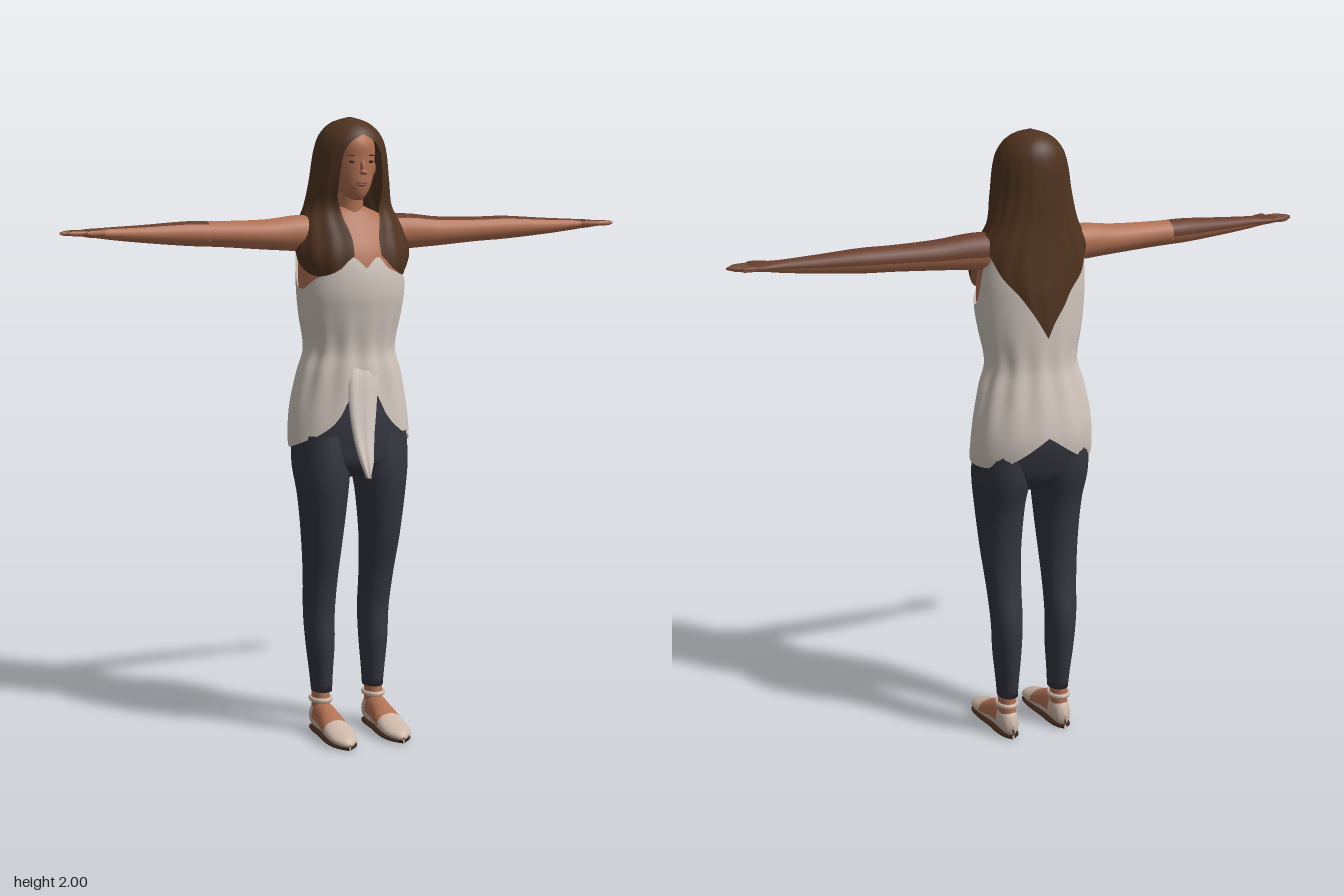
import * as THREE from 'three';
import { mergeVertices } from 'three/addons/utils/BufferGeometryUtils.js';

const flat = (name, color, side = THREE.FrontSide) => {
  const m = new THREE.MeshStandardMaterial({ color, side });
  m.name = name;
  return m;
};
const TAU = Math.PI * 2, DEG = Math.PI / 180;

// Smooth interpolation of a table whose rows are [key, value, value, ...], keys ascending
function at(table, k) {
  const n = table.length;
  if (k <= table[0][0]) return table[0].slice(1);
  if (k >= table[n - 1][0]) return table[n - 1].slice(1);
  let i = 0;
  while (k > table[i + 1][0]) i++;
  const a = table[i], b = table[i + 1], p = table[Math.max(i - 1, 0)], q = table[Math.min(i + 2, n - 1)];
  const h = b[0] - a[0], t = (k - a[0]) / h, t2 = t * t, t3 = t2 * t;
  return a.slice(1).map((v, j) => {
    const w = b[j + 1];
    const m0 = (w - p[j + 1]) / (b[0] - p[0]) * h, m1 = (q[j + 1] - v) / (q[0] - a[0]) * h;
    return (2 * t3 - 3 * t2 + 1) * v + (t3 - 2 * t2 + t) * m0 + (3 * t2 - 2 * t3) * w + (t3 - t2) * m1;
  });
}

// Grid surface from fn(u, v) -> [x, y, z]
function surface(name, mat, nu, nv, fn, flip = false) {
  const pos = [], idx = [];
  for (let j = 0; j <= nv; j++) for (let i = 0; i <= nu; i++) pos.push(...fn(i / nu, j / nv));
  for (let j = 0; j < nv; j++) for (let i = 0; i < nu; i++) {
    const a = j * (nu + 1) + i, b = a + 1, c = a + nu + 1, d = c + 1;
    if (flip) idx.push(a, d, b, a, c, d);
    else idx.push(a, b, d, a, d, c);
  }
  let g = new THREE.BufferGeometry();
  g.setAttribute('position', new THREE.Float32BufferAttribute(pos, 3));
  g.setIndex(idx);
  g = mergeVertices(g, 1e-5);
  g.computeVertexNormals();
  const mesh = new THREE.Mesh(g, mat);
  mesh.name = name;
  return mesh;
}

// Point on an upright body ring: rows are [y, halfWidth, zFront, zBack]
function ringPoint(table, y, a, grow = 0, cx = 0) {
  const [hx, zf, zb] = at(table, y);
  return [cx + Math.sin(a) * (hx + grow), y, (zf + zb) / 2 + Math.cos(a) * ((zf - zb) / 2 + grow)];
}
function upright(name, mat, table, { cx = 0, nu = 36, nv = 24 } = {}) {
  const y0 = table[0][0], y1 = table[table.length - 1][0];
  return surface(name, mat, nu, nv + 2, (u, v) => {
    const j = Math.round(v * (nv + 2)) - 1, cap = j < 0 || j > nv;
    const y = y0 + (y1 - y0) * Math.min(Math.max(j / nv, 0), 1);
    const p = ringPoint(table, y, u * TAU, 0, cx);
    if (cap) { const [, f, b] = at(table, y); return [cx, y, (f + b) / 2]; }
    return p;
  });
}

const TORSO = [[0.86, 0.1, 0.03, -0.1], [0.9, 0.18, 0.068, -0.135], [0.96, 0.198, 0.076, -0.158], [1.03, 0.196, 0.079, -0.172],
  [1.1, 0.187, 0.076, -0.17], [1.2, 0.163, 0.072, -0.156], [1.27, 0.143, 0.066, -0.145], [1.38, 0.163, 0.083, -0.148],
  [1.45, 0.172, 0.094, -0.15], [1.53, 0.174, 0.09, -0.15], [1.6, 0.17, 0.07, -0.143], [1.66, 0.162, 0.03, -0.135],
  [1.69, 0.12, 0.015, -0.12], [1.72, 0.05, 0, -0.09]];
const HEAD = [[1.742, 0.016, 0.044, 0.0], [1.76, 0.036, 0.055, -0.05], [1.79, 0.056, 0.062, -0.09], [1.83, 0.068, 0.063, -0.11],
  [1.87, 0.073, 0.064, -0.12], [1.92, 0.07, 0.064, -0.12], [1.96, 0.05, 0.035, -0.1], [1.98, 0.02, 0, -0.07]];
const HAIR = [[1.36, 0.13, 0.1, -0.168], [1.5, 0.172, 0.115, -0.166], [1.57, 0.195, 0.108, -0.16], [1.65, 0.182, 0.08, -0.154],
  [1.72, 0.147, 0.052, -0.15], [1.8, 0.13, 0.072, -0.15], [1.9, 0.114, 0.08, -0.148], [1.95, 0.092, 0.066, -0.135],
  [1.985, 0.052, 0.025, -0.1], [2, 0.003, -0.03, -0.04]];
const LEG = [[0.14, 0.033, -0.015, -0.1], [0.2, 0.037, -0.01, -0.108], [0.3, 0.046, -0.003, -0.12], [0.4, 0.051, -0.008, -0.124],
  [0.52, 0.057, 0.01, -0.106], [0.65, 0.066, 0.046, -0.102], [0.8, 0.08, 0.073, -0.117], [0.9, 0.092, 0.077, -0.145], [1, 0.09, 0.068, -0.15]];
// Shirt edges and hair edges by angle from the front, in degrees
const HEM = [[0, 1.13], [15, 1.12], [22, 1.07], [32, 1.03], [50, 0.995], [90, 0.96], [140, 0.965], [180, 1.05]];
const NECKLINE = [[0, 1.53], [14, 1.565], [26, 1.53], [55, 1.5], [80, 1.465], [98, 1.5], [110, 1.64], [120, 1.685], [180, 1.69]];
const HAIR_ENDS = [[0, 1.57], [0.12, 1.52], [0.3, 1.51], [0.42, 1.56], [0.5, 1.66], [0.62, 1.64], [0.8, 1.52], [1, 1.37]];
const HAIR_PARTING = [[1.5, 0.28], [1.62, 0.24], [1.7, 0.42], [1.76, 0.58], [1.85, 0.6], [1.9, 0.52], [1.93, 0.3], [1.945, 0]];
// Arm rows: [x, y, z, half height, half depth]
const ARM = [[0.12, 1.635, -0.04, 0.06, 0.055], [0.2, 1.638, -0.038, 0.056, 0.055], [0.3, 1.636, -0.035, 0.047, 0.052],
  [0.45, 1.64, -0.042, 0.04, 0.045], [0.55, 1.643, -0.045, 0.038, 0.043], [0.7, 1.645, -0.042, 0.027, 0.033],
  [0.8, 1.648, -0.04, 0.019, 0.026], [0.84, 1.65, -0.035, 0.015, 0.034], [0.88, 1.651, -0.033, 0.012, 0.038], [0.9, 1.652, -0.033, 0.006, 0.034]];
// Foot rows: [z, half width, bottom, top]
const FOOT = [[-0.114, 0.004, 0.02, 0.05], [-0.1, 0.024, 0.009, 0.085], [-0.05, 0.036, 0.008, 0.108], [0, 0.038, 0.008, 0.1],
  [0.06, 0.045, 0.008, 0.075], [0.11, 0.047, 0.008, 0.056], [0.15, 0.038, 0.008, 0.043], [0.172, 0.02, 0.009, 0.033], [0.18, 0.003, 0.012, 0.02]];

export function createModel() {
  const skin = flat('skin', 0xb27152), tan = flat('deepSkin', 0x693e2c);
  const hairMat = flat('hairBrown', 0x4f331f, THREE.DoubleSide), cloth = flat('shirtCream', 0xd2c7be, THREE.DoubleSide);
  const denim = flat('trouserSlate', 0x34363f), shoe = flat('shoeBeige', 0xcdb8a8, THREE.DoubleSide);
  const sole = flat('soleBrown', 0x3a2417), dark = flat('eyeDark', 0x2a1a14), lip = flat('lipRose', 0x8d4a3d);
  const root = new THREE.Group(), body = new THREE.Group();
  root.name = 'woman';
  body.name = 'body';
  body.position.x = -0.01;
  root.add(body);

  // Torso, neck, head and hips
  body.add(upright('torso', skin, TORSO.slice(6)));
  body.add(upright('neck', skin, [[1.66, 0.06, 0.015, -0.1], [1.71, 0.045, 0.008, -0.085], [1.79, 0.043, 0.015, -0.08]], { nv: 8 }));
  body.add(upright('head', skin, HEAD));
  body.add(upright('trouserHips', denim, TORSO.slice(0, 7)));

  // Facial features
  const blob = (name, mat, x, y, z, sx, sy, sz, rotZ = 0) => {
    const m = new THREE.Mesh(new THREE.SphereGeometry(1, 14, 10), mat);
    m.name = name;
    m.position.set(x, y, z);
    m.scale.set(sx, sy, sz);
    m.rotation.z = rotZ;
    body.add(m);
    return m;
  };
  blob('nose', skin, 0, 1.845, 0.063, 0.008, 0.026, 0.014).rotation.x = -0.3;
  blob('noseTip', skin, 0, 1.828, 0.072, 0.012, 0.009, 0.015);
  blob('upperLip', lip, 0, 1.796, 0.061, 0.02, 0.004, 0.006);
  blob('lowerLip', lip, 0, 1.789, 0.06, 0.017, 0.005, 0.006);
  for (const s of [-1, 1]) {
    blob('eye', dark, s * 0.031, 1.861, 0.055, 0.011, 0.0045, 0.004);
    blob('eyebrow', hairMat, s * 0.032, 1.881, 0.056, 0.016, 0.003, 0.004, -s * 0.1);
    blob('ear', skin, s * 0.075, 1.84, -0.025, 0.01, 0.025, 0.015);
  }

  // Long hair, parted around the face and tapering down the back
  body.add(surface('hair', hairMat, 96, 48, (u, v) => {
    const lo = at(HAIR_ENDS, 1 - Math.abs(2 * u - 1))[0], y = lo + (2 - lo) * v;
    const open = Math.max(at(HAIR_PARTING, y)[0], 0);
    return ringPoint(HAIR, y, open + u * (TAU - 2 * open), 0.002 * Math.cos(u * TAU * 16) * (1 - v));
  }));

  // Sleeveless shirt with gathered folds at the waist and a hanging front panel
  body.add(surface('shirt', cloth, 96, 40, (u, v) => {
    const d = 180 - Math.abs(360 * u - 180), lo = at(HEM, d)[0], hi = at(NECKLINE, d)[0];
    const y = lo + (hi - lo) * v;
    const fold = 0.004 * Math.sin(u * TAU * 13) * Math.exp(-(((y - 1.22) / 0.13) ** 2));
    return ringPoint(TORSO, y, u * TAU, 0.008 + fold);
  }));
  const PANEL = [[0.875, -0.02, 0.006, 0.167], [0.92, -0.018, 0.022, 0.152], [1, -0.017, 0.036, 0.125],
    [1.1, -0.01, 0.048, 0.102], [1.2, 0, 0.05, 0.08], [1.25, 0, 0.03, 0.06]];
  body.add(surface('shirtFrontPanel', cloth, 24, 18, (u, v) => {
    const y = 0.875 + 0.375 * v, [cx, hw, z] = at(PANEL, y), a = u * TAU;
    return [cx + Math.sin(a) * hw, y, z - 0.012 + Math.cos(a) * (0.014 + 0.003 * Math.sin(a * 5))];
  }));

  // Arms: an arc of the limb between x0 and x1, angle measured from the front upward
  const limb = (name, mat, table, s, x0, x1, a0, a1) => root.add(surface(name, mat, Math.ceil((a1 - a0) / 15), 26, (u, v) => {
    const j = Math.round(v * 26), x = x0 + (x1 - x0) * Math.min(j / 25, 1);
    const [y, z, hy, hz] = at(table, x), a = (a0 + (a1 - a0) * u) * DEG, k = j > 25 && x1 === table[table.length - 1][0] ? 0 : 1;
    return [s * x, y + Math.sin(a) * hy * k, z + Math.cos(a) * hz * k];
  }, s > 0));
  const twoTone = (name, table, s, x0, x1) => {
    limb(name + 'Top', tan, table, s, x0, x1, 50, 190);
    limb(name + 'Under', skin, table, s, x0, x1, 190, 410);
  };
  const digit = (x0, z0, x1, z1, r) => {
    const row = (t, k) => [x0 + (x1 - x0) * t, 1.652, z0 + (z1 - z0) * t, r * k, r * k];
    return [row(0, 0.9), row(0.5, 1), row(0.85, 0.8), row(1, 0.3)];
  };
  for (const s of [-1, 1]) {
    const side = s > 0 ? 'left' : 'right', split = s > 0 ? 0.12 : 0.49;
    if (s < 0) limb('rightUpperArm', skin, ARM, s, 0.12, split, 0, 360);
    twoTone(side + 'Arm', ARM, s, split, 0.9);
    [0.93, 0.95, 0.96, 0.945].forEach((tip, i) => {
      const z = -0.062 + i * 0.0185;
      twoTone(side + 'Finger', digit(0.875, z, tip, z, 0.0085), s, 0.875, tip);
    });
    twoTone(side + 'Thumb', digit(0.825, -0.012, 0.89, 0.018, 0.01), s, 0.825, 0.89);
  }

  // Legs, feet and flat strapped shoes
  for (const s of [-1, 1]) {
    const side = s > 0 ? 'left' : 'right', cx = s * 0.095;
    body.add(surface(side + 'TrouserLeg', denim, 28, 33, (u, v) => {
      const j = Math.round(v * 33) - 1, y = 0.14 + 0.86 * Math.max(j, 0) / 32;
      const c = s * (0.092 + 0.01 * Math.min((y - 0.14) / 0.5, 1));
      return j < 0 ? [c, y, -0.057] : ringPoint(LEG, y, u * TAU, 0, c);
    }));
    body.add(upright(side + 'Ankle', skin, [[0.05, 0.03, -0.015, -0.1], [0.1, 0.028, -0.02, -0.096], [0.15, 0.028, -0.025, -0.094]], { cx, nv: 8 }));
    const footPart = (name, mat, z0, z1, a0, a1) => body.add(surface(side + name, mat, Math.ceil((a1 - a0) / 12), 16, (u, v) => {
      const z = z0 + (z1 - z0) * v, [hw, lo, hi] = at(FOOT, z), a = (a0 + (a1 - a0) * u) * DEG;
      return [cx + Math.cos(a) * hw, (lo + hi) / 2 + Math.sin(a) * (hi - lo) / 2, z];
    }));
    footPart('ShoeHeel', shoe, -0.114, -0.05, 0, 360);
    footPart('FootTop', skin, -0.05, 0.07, -10, 190);
    footPart('ShoeSide', shoe, -0.05, 0.07, 190, 350);
    footPart('ShoeToe', shoe, 0.07, 0.18, 0, 360);
    body.add(surface(side + 'Sole', sole, 20, 24, (u, v) => {
      const z = -0.114 + 0.294 * v, hw = at(FOOT, z)[0], a = u * TAU;
      return [cx + Math.cos(a) * hw, 0.008 + Math.sin(a) * 0.008, z];
    }));
    const strap = new THREE.Mesh(new THREE.TorusGeometry(0.034, 0.006, 8, 28), shoe);
    strap.name = side + 'AnkleStrap';
    strap.rotation.x = Math.PI / 2;
    strap.scale.set(0.95, 1.2, 1.4);
    strap.position.set(cx, 0.112, -0.058);
    body.add(strap);
  }
  return root;
}
